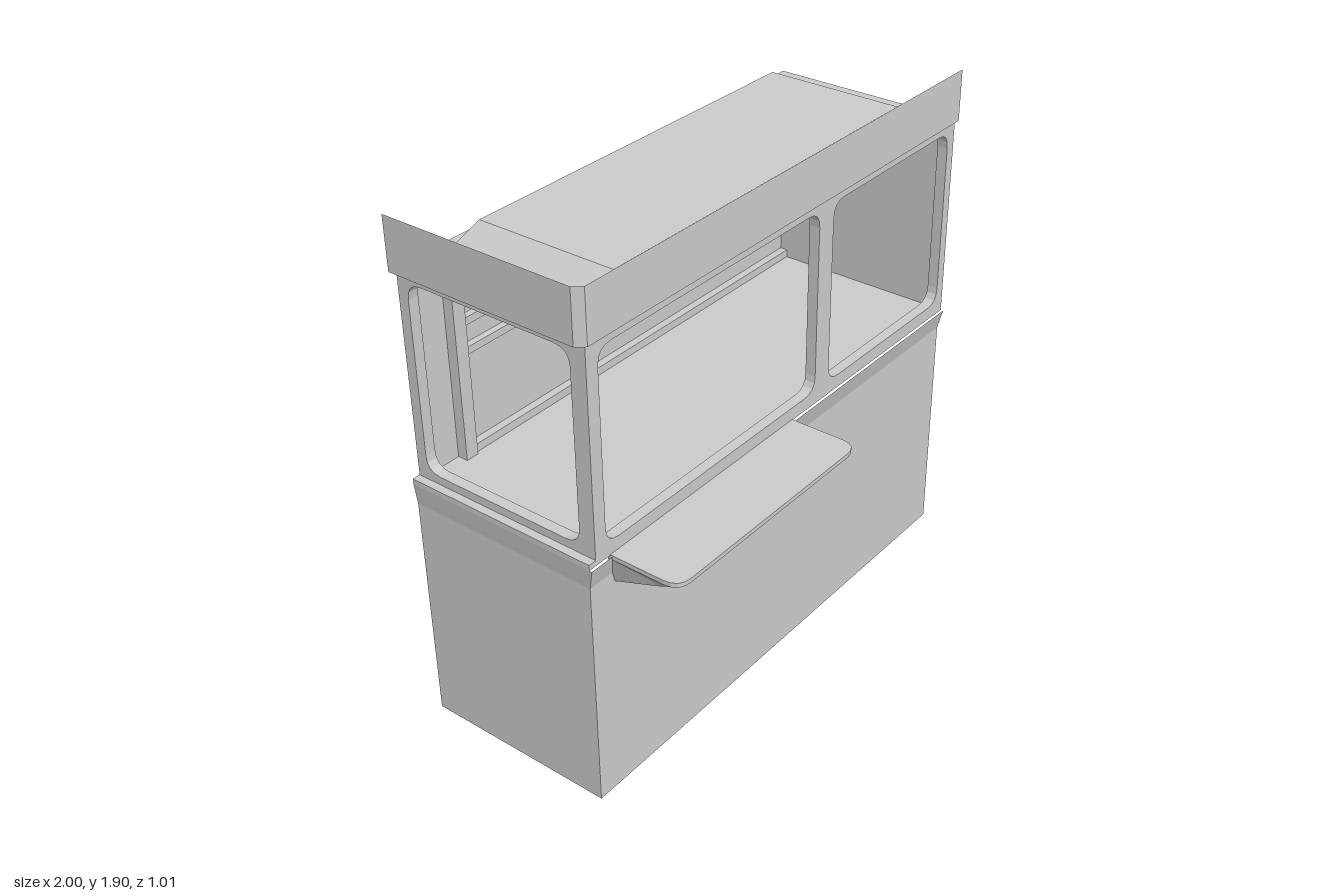
import * as THREE from 'three';

const mat = new THREE.MeshStandardMaterial({ color: 0xcccccc, flatShading: true, side: THREE.DoubleSide });

function add(parent, name, geo) {
  const mesh = new THREE.Mesh(geo, mat);
  mesh.name = name;
  parent.add(mesh);
  return mesh;
}

// Box given by its minimum and maximum on each axis
function box(parent, name, x0, x1, y0, y1, z0, z1) {
  const mesh = add(parent, name, new THREE.BoxGeometry(x1 - x0, y1 - y0, z1 - z0));
  mesh.position.set((x0 + x1) / 2, (y0 + y1) / 2, (z0 + z1) / 2);
  return mesh;
}

// Trace a rounded rectangle into a shape or path
function roundRect(path, x0, x1, y0, y1, r) {
  path.moveTo(x0 + r, y0);
  path.lineTo(x1 - r, y0);
  path.quadraticCurveTo(x1, y0, x1, y0 + r);
  path.lineTo(x1, y1 - r);
  path.quadraticCurveTo(x1, y1, x1 - r, y1);
  path.lineTo(x0 + r, y1);
  path.quadraticCurveTo(x0, y1, x0, y1 - r);
  path.lineTo(x0, y0 + r);
  path.quadraticCurveTo(x0, y0, x0 + r, y0);
  return path;
}

// Flat wall with rounded window openings
function windowWall(x0, x1, y0, y1, depth, windows) {
  const shape = new THREE.Shape();
  shape.moveTo(x0, y0);
  shape.lineTo(x1, y0);
  shape.lineTo(x1, y1);
  shape.lineTo(x0, y1);
  shape.closePath();
  for (const [a, b, c, d] of windows) shape.holes.push(roundRect(new THREE.Path(), a, b, c, d, 0.06));
  return new THREE.ExtrudeGeometry(shape, { depth, bevelEnabled: false, curveSegments: 4 });
}

// Thin sheet spanning rows of plan points [x, z], each row at its own height
function sheet(rows) {
  const pos = [];
  for (let r = 0; r < rows.length - 1; r++) {
    const low = rows[r], high = rows[r + 1];
    for (let i = 0; i < low.plan.length - 1; i++) {
      const a = [low.plan[i][0], low.y, low.plan[i][1]];
      const b = [low.plan[i + 1][0], low.y, low.plan[i + 1][1]];
      const c = [high.plan[i + 1][0], high.y, high.plan[i + 1][1]];
      const d = [high.plan[i][0], high.y, high.plan[i][1]];
      pos.push(...a, ...c, ...b, ...a, ...d, ...c);
    }
  }
  const geo = new THREE.BufferGeometry();
  geo.setAttribute('position', new THREE.Float32BufferAttribute(pos, 3));
  geo.computeVertexNormals();
  return geo;
}

// Rewrite each vertex by a rule, then refresh the flat normals
function reshape(geo, rule) {
  const out = geo.index ? geo.toNonIndexed() : geo;
  const p = out.attributes.position, v = new THREE.Vector3();
  for (let i = 0; i < p.count; i++) {
    rule(v.fromBufferAttribute(p, i));
    p.setXYZ(i, v.x, v.y, v.z);
  }
  out.computeVertexNormals();
  return out;
}

export function createModel() {
  const model = new THREE.Group();
  model.name = 'kiosk';

  // Skirt on the front and right side, flared out under the floor
  const skirtPlan = [[1, 0.23], [-0.99, 0.23], [-0.99, -0.505]];
  const flarePlan = [[1, 0.25], [-1, 0.25], [-1, -0.505]];
  add(model, 'skirt', sheet([
    { y: 0, plan: skirtPlan },
    { y: 0.87, plan: skirtPlan },
    { y: 0.95, plan: flarePlan },
  ]));

  // Cabin floor, the tray under it and the ledge along the back
  box(model, 'floor', -1, 1, 0.95, 0.97, -0.505, 0.24);
  box(model, 'underTray', -0.94, 0.94, 0.92, 0.95, -0.47, 0.18);
  box(model, 'backLedge', -0.77, 0.97, 0.97, 1.0, -0.48, -0.45);

  // Solid walls
  box(model, 'backWall', -0.97, 1, 0.95, 1.72, -0.505, -0.48);
  box(model, 'leftWall', 0.97, 1, 0.95, 1.72, -0.505, 0.24);

  // Window walls
  const front = add(model, 'frontWindowWall', windowWall(-0.97, 1, 0.95, 1.72, 0.04,
    [[-0.92, 0.17, 1.0, 1.68], [0.25, 0.96, 1.0, 1.68]]));
  front.position.z = 0.2;
  const side = add(model, 'rightWindowWall', windowWall(-0.505, 0.24, 0.95, 1.72, 0.04,
    [[-0.465, 0.18, 1.0, 1.68]]));
  side.rotation.y = -Math.PI / 2;
  side.position.x = -0.93;

  // Inside the back wall: a post and two rails
  box(model, 'backPost', -0.82, -0.77, 0.97, 1.69, -0.48, -0.44);
  for (const y of [1.335, 1.44]) box(model, 'backRail', -0.77, 0.97, y, y + 0.027, -0.48, -0.455);

  // Roof with a raised, tapered centre
  box(model, 'roof', -0.97, 1, 1.69, 1.72, -0.505, 0.24);
  add(model, 'raisedRoof', reshape(new THREE.BoxGeometry(1, 1, 1), (v) => {
    const top = v.y > 0;
    v.x = v.x > 0 ? (top ? 0.78 : 0.93) : (top ? -0.72 : -0.84);
    v.z = v.z > 0 ? (top ? 0.135 : 0.18) : (top ? -0.395 : -0.44);
    v.y = top ? 1.81 : 1.72;
  }));
  box(model, 'roofClip', -0.92, -0.88, 1.715, 1.73, -0.505, -0.485);

  // Fascia sheet with a chamfered corner
  const fasciaPlan = [[1, 0.255], [-0.975, 0.255], [-1, 0.225], [-1, -0.505]];
  add(model, 'fascia', sheet([{ y: 1.715, plan: fasciaPlan }, { y: 1.905, plan: fasciaPlan }]));

  // Serving counter: rounded front corners, wedge underside deepening to the back
  const plan = new THREE.Shape();
  plan.moveTo(-0.905, 0.23);
  plan.lineTo(0.04, 0.23);
  plan.lineTo(0.04, 0.445);
  plan.quadraticCurveTo(0.04, 0.505, -0.02, 0.505);
  plan.lineTo(-0.845, 0.505);
  plan.quadraticCurveTo(-0.905, 0.505, -0.905, 0.445);
  plan.closePath();
  const counter = new THREE.ExtrudeGeometry(plan, { depth: 1, steps: 2, bevelEnabled: false, curveSegments: 4 });
  add(model, 'counter', reshape(counter, (v) => {
    const level = v.z, z = v.y, t = (z - 0.23) / 0.275;
    // Levels: 0 is the top, 0.5 the rim, 1 the drawn-in underside
    if (level > 0.9) v.set(-0.4325 + (v.x + 0.4325) * 0.94, 0.83 + 0.085 * t, 0.23 + 0.235 * t);
    else v.set(v.x, level > 0.4 ? 0.937 : 0.953, z);
  }));

  return model;
}
